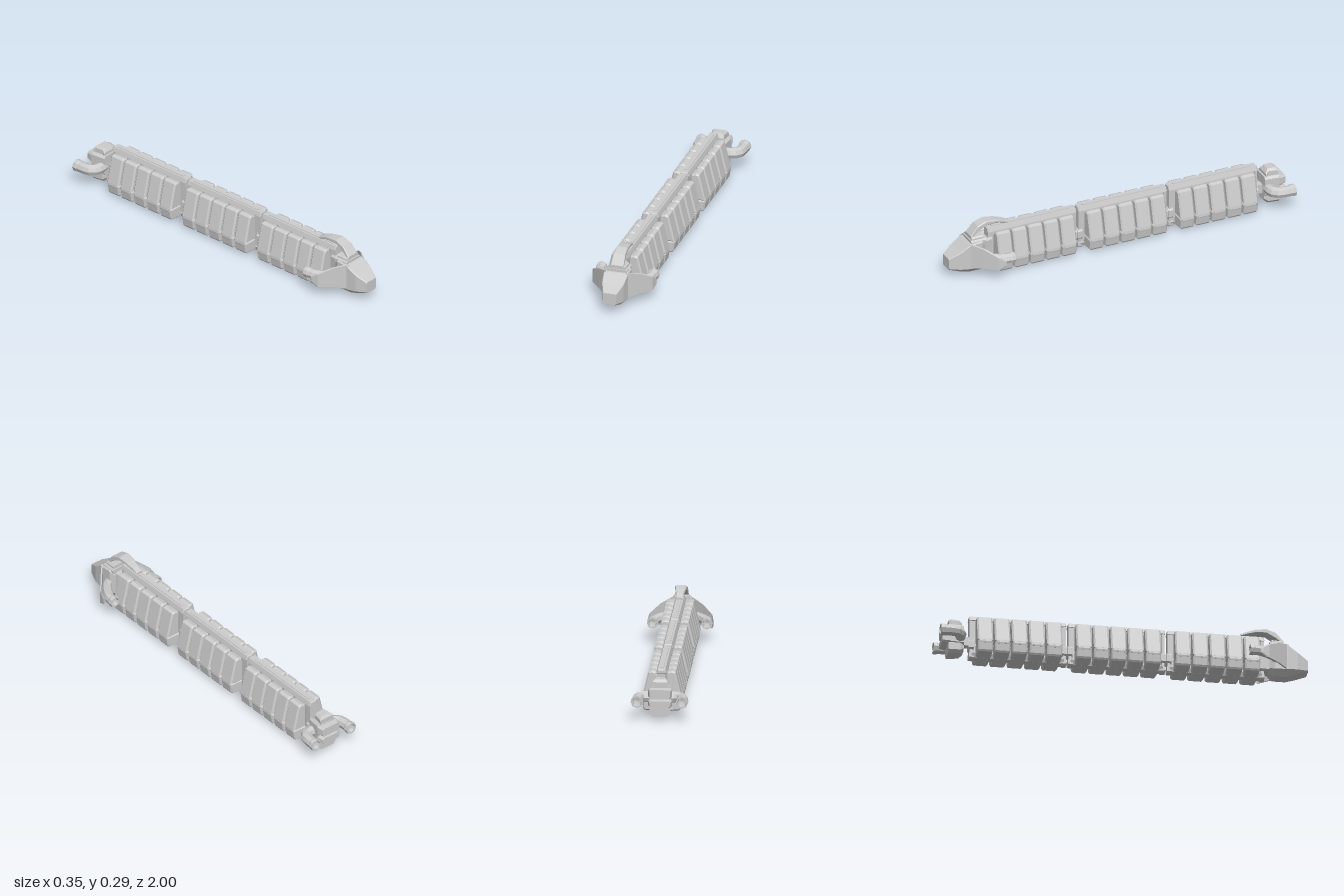
import * as THREE from 'three';

const grey = new THREE.MeshStandardMaterial({ color: 0xcccccc, flatShading: true, side: THREE.DoubleSide });

function add(parent, name, geometry, x = 0, y = 0, z = 0) {
  const mesh = new THREE.Mesh(geometry, grey);
  mesh.name = name;
  mesh.position.set(x, y, z);
  parent.add(mesh);
  return mesh;
}

const box = (w, h, d) => new THREE.BoxGeometry(w, h, d);

// Skin through equal-sized rings of [x, y, z], closed at both ends
function loft(rings) {
  const n = rings[0].length, index = [];
  for (let i = 0; i < rings.length - 1; i++) {
    for (let j = 0; j < n; j++) {
      const a = i * n + j, b = i * n + (j + 1) % n;
      index.push(a, b, b + n, a, b + n, a + n);
    }
  }
  const last = (rings.length - 1) * n;
  for (let j = 1; j < n - 1; j++) index.push(0, j + 1, j, last, last + j, last + j + 1);
  const g = new THREE.BufferGeometry();
  g.setAttribute('position', new THREE.Float32BufferAttribute(rings.flat(2), 3));
  g.setIndex(index);
  const flat = g.toNonIndexed();
  flat.computeVertexNormals();
  return flat;
}

// Box-like ring with cut corners: c at the bottom, t at the top
function hullRing([z, w, y0, y1, c, t]) {
  return [[-w + c, y0], [w - c, y0], [w, y0 + c], [w, y1 - t], [w - t, y1],
    [-w + t, y1], [-w, y1 - t], [-w, y0 + c]].map(([x, y]) => [x, y, z]);
}
const hull = (...rows) => loft(rows.map(hullRing));

// Cross-section extruded along z, centred, with chamfered edges
function chamfered(points, length, bevel) {
  const g = new THREE.ExtrudeGeometry(new THREE.Shape(points.map(p => new THREE.Vector2(...p))), {
    depth: length - 2 * bevel, bevelThickness: bevel, bevelSize: bevel, bevelOffset: -bevel, bevelSegments: 1,
  });
  return g.translate(0, 0, bevel - length / 2);
}

function bothSides(parent, name, build) {
  for (const side of [1, -1]) {
    const g = new THREE.Group();
    g.name = (side > 0 ? 'left' : 'right') + name;
    g.scale.x = side;
    build(g);
    parent.add(g);
  }
}

// Bent exhaust pipe ending in a hollow, backward-facing nozzle
function exhaust(parent, path, r) {
  const curve = new THREE.CatmullRomCurve3(path.map(p => new THREE.Vector3(...p)));
  add(parent, 'pipe', new THREE.TubeGeometry(curve, 8, r * 0.9, 8));
  const profile = [[r * 0.9, 0.03], [r, 0.02], [r, 0], [r * 0.75, 0], [r * 0.65, 0.02], [0, 0.025]];
  const nozzle = new THREE.LatheGeometry(profile.map(p => new THREE.Vector2(...p)), 8).rotateX(Math.PI / 2);
  add(parent, 'nozzle', nozzle, ...path[path.length - 1]);
}

function buildCargoSection(zCentre) {
  const section = new THREE.Group();
  section.name = 'cargoSection';
  section.position.z = zCentre;
  // Spine, roof rail and keel
  add(section, 'spine', box(0.036, 0.2, 0.5), 0, 0.125);
  add(section, 'roofRail', chamfered([[-0.028, 0.222], [0.028, 0.222], [0.02, 0.246], [-0.02, 0.246]], 0.525, 0.005));
  add(section, 'roofRidge', box(0.02, 0.006, 0.46), 0, 0.246);
  add(section, 'keel', chamfered([[-0.02, 0.006], [0.02, 0.006], [0.03, 0.03], [-0.03, 0.03]], 0.5, 0.004));
  // End frames and couplings
  for (const s of [1, -1]) {
    add(section, 'endPost', box(0.044, 0.225, 0.016), 0, 0.125, s * 0.252);
    add(section, 'coupling', hull([s * 0.252 - 0.014, 0.03, 0.05, 0.112, 0.012, 0.012], [s * 0.252 + 0.014, 0.03, 0.05, 0.112, 0.012, 0.012]));
    add(section, 'footClamp', hull([s * 0.25 - 0.013, 0.024, 0, 0.036, 0.008, 0.008], [s * 0.25 + 0.013, 0.024, 0, 0.036, 0.008, 0.008]));
  }
  // Five pairs of containers, each with a lower tank
  const upper = chamfered([[0.022, 0.075], [0.108, 0.075], [0.073, 0.222], [0.054, 0.229], [0.03, 0.222], [0.022, 0.2]], 0.084, 0.008);
  const lower = chamfered([[0.018, 0.006], [0.094, 0.013], [0.1, 0.022], [0.108, 0.077], [0.022, 0.077]], 0.082, 0.007);
  const latch = chamfered([[0.09, 0.06], [0.107, 0.06], [0.109, 0.068], [0.107, 0.083], [0.09, 0.083]], 0.066, 0.003);
  bothSides(section, 'Containers', g => {
    for (let i = -2; i <= 2; i++) {
      add(g, 'container', upper, 0, 0, i * 0.0935);
      add(g, 'lowerTank', lower, 0, 0, i * 0.0935);
      add(g, 'latch', latch, 0, 0, i * 0.0935);
    }
  });
  return section;
}

function buildHead() {
  const head = new THREE.Group();
  head.name = 'head';
  add(head, 'bridgeHull', hull(
    [0.79, 0.05, 0.035, 0.185, 0.02, 0.015],
    [0.815, 0.066, 0.017, 0.2, 0.03, 0.008],
    [0.885, 0.067, 0.017, 0.192, 0.032, 0.004],
    [0.94, 0.06, 0.036, 0.155, 0.018, 0.004],
    [1, 0.037, 0.055, 0.12, 0.006, 0.004]));
  // Stepped roof
  add(head, 'roofStepLow', hull([0.79, 0.058, 0.18, 0.209, 0.004, 0.008], [0.875, 0.056, 0.18, 0.207, 0.004, 0.008]));
  add(head, 'roofStepHigh', hull([0.8, 0.048, 0.2, 0.225, 0.004, 0.008], [0.868, 0.045, 0.2, 0.222, 0.004, 0.008]));
  add(head, 'neck', hull([0.74, 0.03, 0.05, 0.19, 0.01, 0.01], [0.8, 0.045, 0.04, 0.19, 0.01, 0.01]));
  // Arched arm reaching back over the cargo: z, underside, top, half width
  const arm = [[0.64, 0.246, 0.26, 0.018], [0.675, 0.258, 0.276, 0.02], [0.72, 0.268, 0.288, 0.027],
    [0.775, 0.268, 0.294, 0.031], [0.825, 0.24, 0.276, 0.033], [0.868, 0.205, 0.226, 0.036]];
  add(head, 'archedArm', loft(arm.map(([z, y0, y1, w]) => hullRing([z, w, y0, y1, 0.004, 0.005]))));
  // Swept side shields with exhaust pipes behind them: x, z, bottom, top
  const shield = [[0.058, 0.885, 0.05, 0.197], [0.113, 0.825, 0.061, 0.177], [0.168, 0.762, 0.062, 0.137], [0.176, 0.728, 0.085, 0.112]];
  bothSides(head, 'Wing', g => {
    add(g, 'shield', loft(shield.map(([x, z, y0, y1]) =>
      [[x, y0, z - 0.006], [x, y1, z - 0.006], [x, y1, z + 0.006], [x, y0, z + 0.006]])));
    exhaust(g, [[0.04, 0.11, 0.835], [0.08, 0.11, 0.815], [0.12, 0.11, 0.765], [0.143, 0.11, 0.715], [0.145, 0.11, 0.667]], 0.031);
  });
  return head;
}

function buildEngine() {
  const engine = new THREE.Group();
  engine.name = 'engine';
  add(engine, 'engineCore', hull([-0.945, 0.06, 0.065, 0.18, 0.012, 0.012], [-0.86, 0.052, 0.065, 0.18, 0.012, 0.012]));
  add(engine, 'engineCap', hull([-0.942, 0.046, 0.17, 0.205, 0.004, 0.006], [-0.93, 0.042, 0.17, 0.218, 0.004, 0.012],
    [-0.885, 0.036, 0.17, 0.218, 0.004, 0.012], [-0.87, 0.044, 0.17, 0.195, 0.004, 0.006]));
  add(engine, 'lowerEngine', hull([-0.945, 0.055, 0.015, 0.085, 0.016, 0.006], [-0.88, 0.05, 0.018, 0.085, 0.016, 0.006],
    [-0.86, 0.04, 0.035, 0.08, 0.012, 0.006]));
  // Rear plates, split by a groove
  for (const [y0, y1] of [[0.07, 0.112], [0.118, 0.175]]) {
    add(engine, 'rearPlate', hull([-0.978, 0.055, y0 + 0.004, y1 - 0.004, 0.008, 0.008], [-0.94, 0.064, y0, y1, 0.008, 0.008]));
  }
  add(engine, 'engineNeck', box(0.04, 0.05, 0.07), 0, 0.1, -0.845);
  bothSides(engine, 'Exhaust', g => exhaust(g,
    [[0.03, 0.11, -0.885], [0.075, 0.11, -0.882], [0.11, 0.11, -0.9], [0.12, 0.11, -0.94], [0.12, 0.11, -1]], 0.034));
  return engine;
}

export function createModel() {
  const model = new THREE.Group();
  model.name = 'cargoShip';
  model.add(buildHead(), buildEngine());
  for (const z of [0.503, -0.032, -0.566]) model.add(buildCargoSection(z));
  return model;
}
